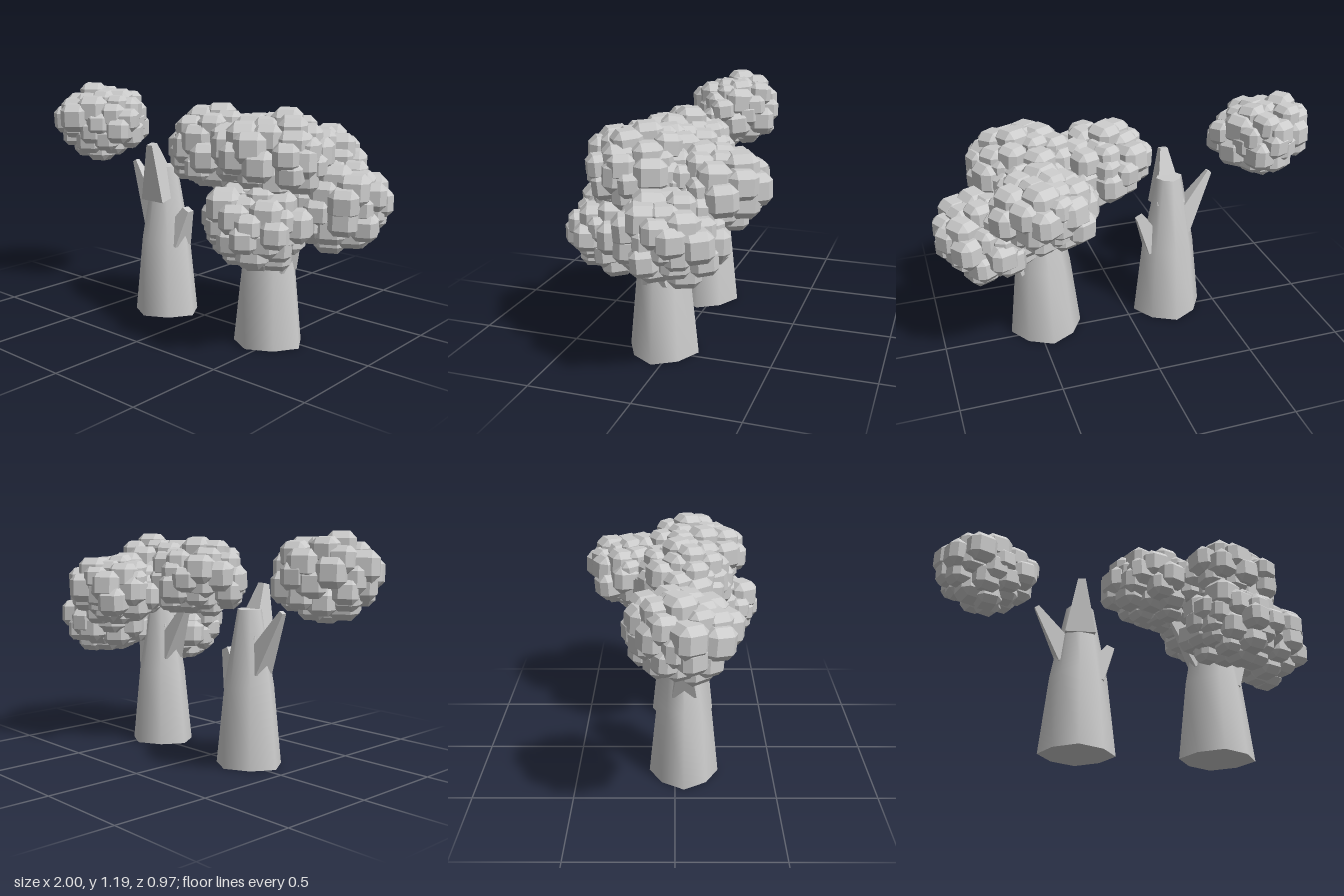
import * as THREE from 'three';
import { mergeGeometries, toCreasedNormals } from 'three/addons/utils/BufferGeometryUtils.js';
import { ConvexGeometry } from 'three/addons/geometries/ConvexGeometry.js';

const barkMaterial = new THREE.MeshStandardMaterial({ color: 0xcccccc });
const leafMaterial = new THREE.MeshStandardMaterial({ color: 0xcccccc, flatShading: true });

function seededRandom(seed) {
  let s = seed * 7919;
  return () => (s = (s * 16807) % 2147483647) / 2147483647;
}

// Unit cube with bevelled edges and corners
function makeLeafBlock() {
  const points = [];
  const inner = 0.27;
  for (const x of [-1, 1]) for (const y of [-1, 1]) for (const z of [-1, 1]) {
    points.push(
      new THREE.Vector3(x * 0.5, y * inner, z * inner),
      new THREE.Vector3(x * inner, y * 0.5, z * inner),
      new THREE.Vector3(x * inner, y * inner, z * 0.5)
    );
  }
  return new ConvexGeometry(points);
}

// Four-sided tapered stub running from one point to another
function makeBranch(name, from, to, baseRadius, tipRadius) {
  const a = new THREE.Vector3(...from);
  const b = new THREE.Vector3(...to);
  const dir = b.clone().sub(a);
  const geometry = new THREE.CylinderGeometry(tipRadius, baseRadius, dir.length(), 4, 1, false, Math.PI / 4);
  const mesh = new THREE.Mesh(toCreasedNormals(geometry, 0.5), barkMaterial);
  mesh.name = name;
  mesh.position.copy(a).add(b).multiplyScalar(0.5);
  mesh.quaternion.setFromUnitVectors(new THREE.Vector3(0, 1, 0), dir.normalize());
  return mesh;
}

// Eight-sided trunk with a cut top and three pointed stubs
function makeTrunk(name, x) {
  const tree = new THREE.Group();
  tree.name = name;
  const profile = [[0, 0], [0.19, 0], [0.145, 0.4], [0.07, 0.79], [0, 0.79]]
    .map(([r, y]) => new THREE.Vector2(r, y));
  const geometry = new THREE.LatheGeometry(profile, 8);
  const position = geometry.attributes.position;
  // Pull the diagonal corners in for a slightly diamond-shaped section
  for (let i = 0; i < position.count; i++) {
    const px = position.getX(i);
    const pz = position.getZ(i);
    const pull = Math.abs(px * pz) > 1e-4 ? 0.9 : 1;
    position.setX(i, px * pull);
    position.setZ(i, pz * pull * 0.93);
  }
  const trunk = new THREE.Mesh(toCreasedNormals(geometry, 1.15), barkMaterial);
  trunk.name = 'trunk';
  tree.add(
    trunk,
    makeBranch('frontSpike', [0, 0.63, 0.03], [0, 0.912, 0.1], 0.108, 0.028),
    makeBranch('rightBranch', [-0.05, 0.5, 0], [-0.223, 0.79, 0], 0.085, 0.018),
    makeBranch('leftBranch', [0.07, 0.4, 0], [0.16, 0.575, 0], 0.085, 0.03)
  );
  tree.position.set(x, 0, 0.045);
  return tree;
}

// Leaf clump: bevelled blocks spread unevenly over an ellipsoid
function makeClump(leafBlock, { name, center, size, count, seed }) {
  const random = seededRandom(seed);
  const blocks = [];
  const blockHalf = 0.068;
  for (let i = 0; i < count; i++) {
    const up = 1 - (2 * (i + 0.5)) / count;
    const ring = Math.sqrt(1 - up * up);
    const angle = i * 2.39996 + seed + 0.4 * (random() - 0.5);
    const reach = 0.78 + 0.28 * random();
    const width = 0.11 + 0.045 * random();
    const block = leafBlock.clone().scale(width, width, width);
    block.rotateX(0.2 * (random() - 0.5));
    block.rotateY(0.5 + 0.3 * (random() - 0.5));
    block.translate(
      (size[0] - blockHalf) * reach * ring * Math.cos(angle),
      (size[1] - blockHalf) * reach * up,
      (size[2] - blockHalf) * reach * ring * Math.sin(angle)
    );
    blocks.push(block);
  }
  const mesh = new THREE.Mesh(mergeGeometries(blocks), leafMaterial);
  mesh.name = name;
  mesh.position.set(...center);
  return mesh;
}

export function createModel() {
  const model = new THREE.Group();
  model.name = 'trees';
  model.add(makeTrunk('bareTree', -0.235), makeTrunk('leafyTree', 0.455));

  // Half sizes run to the outer face of the blocks
  const clumps = [
    { name: 'floatingClump', center: [-0.73, 0.985, 0.025], size: [0.27, 0.215, 0.255], count: 44, seed: 11 },
    { name: 'rightClump', center: [0.15, 0.92, 0.05], size: [0.28, 0.215, 0.255], count: 46, seed: 23 },
    { name: 'topClump', center: [0.53, 0.94, 0.1], size: [0.29, 0.205, 0.275], count: 46, seed: 37 },
    { name: 'backClump', center: [0.49, 0.86, -0.235], size: [0.27, 0.205, 0.24], count: 44, seed: 41 },
    { name: 'leftClump', center: [0.75, 0.7, -0.1], size: [0.265, 0.21, 0.26], count: 46, seed: 53 },
    { name: 'frontClump', center: [0.51, 0.63, 0.24], size: [0.27, 0.21, 0.245], count: 44, seed: 67 }
  ];
  const leafBlock = makeLeafBlock();
  for (const clump of clumps) model.add(makeClump(leafBlock, clump));
  return model;
}
